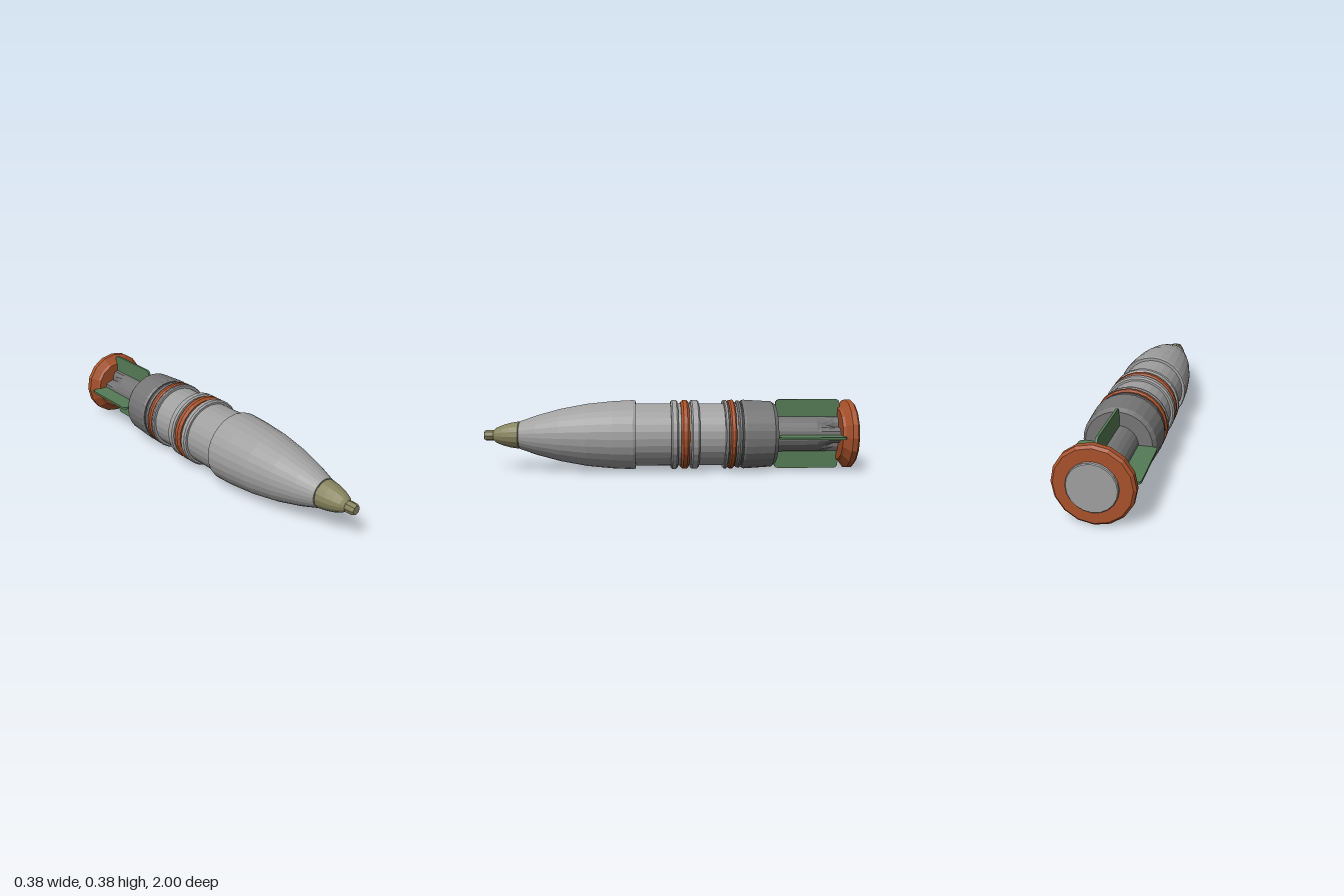
import * as THREE from 'three';

const CY = 0.19; // height of the long axis

function material(name, color, flatShading = true) {
  const m = new THREE.MeshStandardMaterial({ color, flatShading });
  m.name = name;
  return m;
}

// Lathe around the z axis; profile is [radius, z] listed from back to front
function turned(name, profile, sides, mat, deform) {
  const geo = new THREE.LatheGeometry(profile.map(([r, z]) => new THREE.Vector2(r, z)), sides);
  geo.rotateX(Math.PI / 2);
  if (deform) deform(geo.attributes.position);
  const flat = geo.toNonIndexed();
  flat.computeVertexNormals();
  const mesh = new THREE.Mesh(flat, mat);
  mesh.name = name;
  return mesh;
}

// Closed ring with small bevels
function ring(name, back, front, r, mat, bevel = 0.008) {
  return turned(name, [
    [0.15, back], [r - bevel, back], [r, back + bevel],
    [r, front - bevel], [r - bevel, front], [0.15, front],
  ], 28, mat);
}

export function createModel() {
  const group = new THREE.Group();
  const lightGrey = material('light grey', 0xa0a0a0);
  const darkGrey = material('dark grey', 0x757575);
  const copper = material('copper', 0xa8522b);
  const green = material('green', 0x557c56);
  const olive = material('olive', 0x86835e);

  const axis = new THREE.Group();
  axis.name = 'shell';
  axis.position.y = CY;
  group.add(axis);

  // Main body with the curved nose
  axis.add(turned('body', [
    [0, -0.4], [0.168, -0.4], [0.168, 0.19], [0.183, 0.19], [0.187, 0.203],
    [0.182, 0.31], [0.168, 0.45], [0.142, 0.59], [0.108, 0.715], [0.075, 0.81], [0, 0.81],
  ], 28, lightGrey));

  // Raised rings and driving bands
  axis.add(ring('frontRing', -0.035, 0.003, 0.187, lightGrey));
  axis.add(ring('middleRing', -0.147, -0.103, 0.187, lightGrey));
  axis.add(ring('thinRing', -0.3, -0.28, 0.187, lightGrey, 0.005));
  axis.add(ring('rearRing', -0.374, -0.348, 0.182, darkGrey));
  axis.add(ring('frontBand', -0.094, -0.05, 0.187, copper, 0.012));
  axis.add(ring('rearBand', -0.338, -0.306, 0.187, copper));

  // Fuze and its tip
  axis.add(turned('fuze', [
    [0, 0.808], [0.068, 0.808], [0.074, 0.816], [0.073, 0.825], [0.067, 0.86],
    [0.056, 0.9], [0.041, 0.935], [0.026, 0.952], [0, 0.952],
  ], 16, olive));
  axis.add(turned('fuzeTip', [
    [0, 0.945], [0.026, 0.945], [0.029, 0.957], [0.029, 0.99], [0.023, 1], [0, 1],
  ], 8, olive));

  // Rear cup
  axis.add(turned('rearCup', [
    [0, -0.56], [0.163, -0.56], [0.178, -0.54], [0.187, -0.39], [0.18, -0.377], [0, -0.377],
  ], 28, darkGrey));

  // Tail boom, scooped between the fins near its end
  const boomProfile = [[0, -0.91]];
  for (const z of [-0.91, -0.88, -0.84, -0.8, -0.78, -0.55]) boomProfile.push([0.096, z]);
  axis.add(turned('tailBoom', boomProfile, 24, darkGrey, (pos) => {
    for (let i = 0; i < pos.count; i++) {
      const x = pos.getX(i), y = pos.getY(i), z = pos.getZ(i);
      const along = THREE.MathUtils.clamp((-0.78 - z) / 0.1, 0, 1);
      const between = Math.max(0, 2 * Math.sin(2 * Math.atan2(y, x)) ** 2 - 1);
      const k = 1 - 0.4 * along * between;
      pos.setXY(i, x * k, y * k);
    }
  }));

  // Four tail fins with rounded outer corners
  const r0 = 0.08, r1 = 0.189, back = -0.915, front = -0.565, c = 0.025;
  const outline = new THREE.Shape();
  outline.moveTo(back, r0 + c);
  outline.lineTo(back + c, r0);
  outline.lineTo(front, r0);
  outline.lineTo(front, r1 - c);
  outline.quadraticCurveTo(front, r1, front - c, r1);
  outline.lineTo(back + c, r1);
  outline.quadraticCurveTo(back, r1, back, r1 - c);
  outline.closePath();
  const finGeo = new THREE.ExtrudeGeometry(outline, { depth: 0.012, bevelEnabled: false, curveSegments: 4 });
  finGeo.translate(0, 0, -0.006);
  finGeo.rotateY(-Math.PI / 2);
  for (let i = 0; i < 4; i++) {
    const fin = new THREE.Mesh(finGeo, green);
    fin.name = 'tailFin' + (i + 1);
    fin.rotation.z = i * Math.PI / 2;
    axis.add(fin);
  }

  // Base flange and end cap
  axis.add(turned('baseFlange', [
    [0, -0.983], [0.175, -0.983], [0.187, -0.972], [0.187, -0.945],
    [0.15, -0.918], [0.142, -0.905], [0, -0.905],
  ], 16, copper));
  axis.add(turned('endCap', [
    [0, -1], [0.112, -1], [0.116, -0.996], [0.116, -0.975], [0, -0.975],
  ], 20, lightGrey));

  return group;
}
